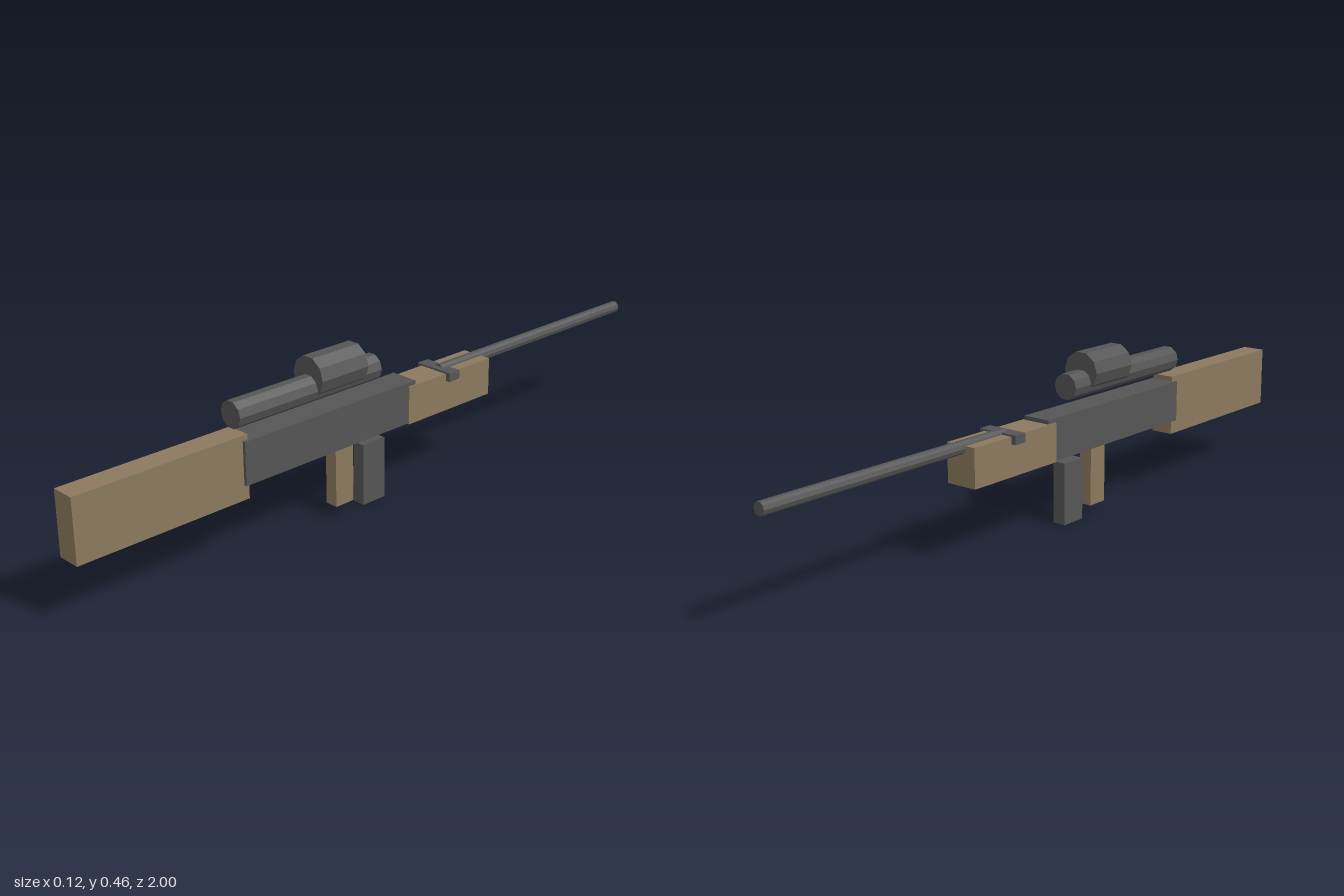
import * as THREE from 'three';

const wood = new THREE.MeshStandardMaterial({ color: 0x8b795e, flatShading: true });
wood.name = 'wood';
const metal = new THREE.MeshStandardMaterial({ color: 0x555555, flatShading: true });
metal.name = 'dark metal';

export function createModel() {
  const group = new THREE.Group();
  group.name = 'scopedRifle';

  const add = (name, geometry, material) => {
    const mesh = new THREE.Mesh(geometry, material);
    mesh.name = name;
    group.add(mesh);
    return mesh;
  };

  // Box centred on x = 0, given by its width and its y and z ranges
  const block = (name, material, width, y0, y1, z0, z1) =>
    add(name, new THREE.BoxGeometry(width, y1 - y0, z1 - z0), material)
      .position.set(0, (y0 + y1) / 2, (z0 + z1) / 2);

  // Ten-sided tube along z with a flat on top
  const tube = (name, material, radius, y, z0, z1) => {
    const geometry = new THREE.CylinderGeometry(radius, radius, z1 - z0, 10, 1, false, Math.PI / 2);
    geometry.rotateX(Math.PI / 2);
    add(name, geometry, material).position.set(0, y, (z0 + z1) / 2);
  };

  // Body
  block('stock', wood, 0.066, 0.161, 0.333, 0.5, 1);
  block('receiver', metal, 0.082, 0.201, 0.318, -0.073, 0.515);
  block('handguard', wood, 0.092, 0.2, 0.307, -0.364, -0.045);

  // Barrel and the band that crosses it
  tube('barrel', metal, 0.0175, 0.301, -1, -0.207);
  block('barrelBand', metal, 0.12, 0.287, 0.312, -0.226, -0.187);

  // Grip and magazine
  block('grip', wood, 0.038, 0.028, 0.202, 0.137, 0.199);
  block('magazine', metal, 0.038, 0, 0.175, 0.022, 0.1);

  // Scope
  tube('scopeTube', metal, 0.0366, 0.38, 0.048, 0.523);
  tube('scopeHousing', metal, 0.055, 0.411, 0.114, 0.272);

  return group;
}
